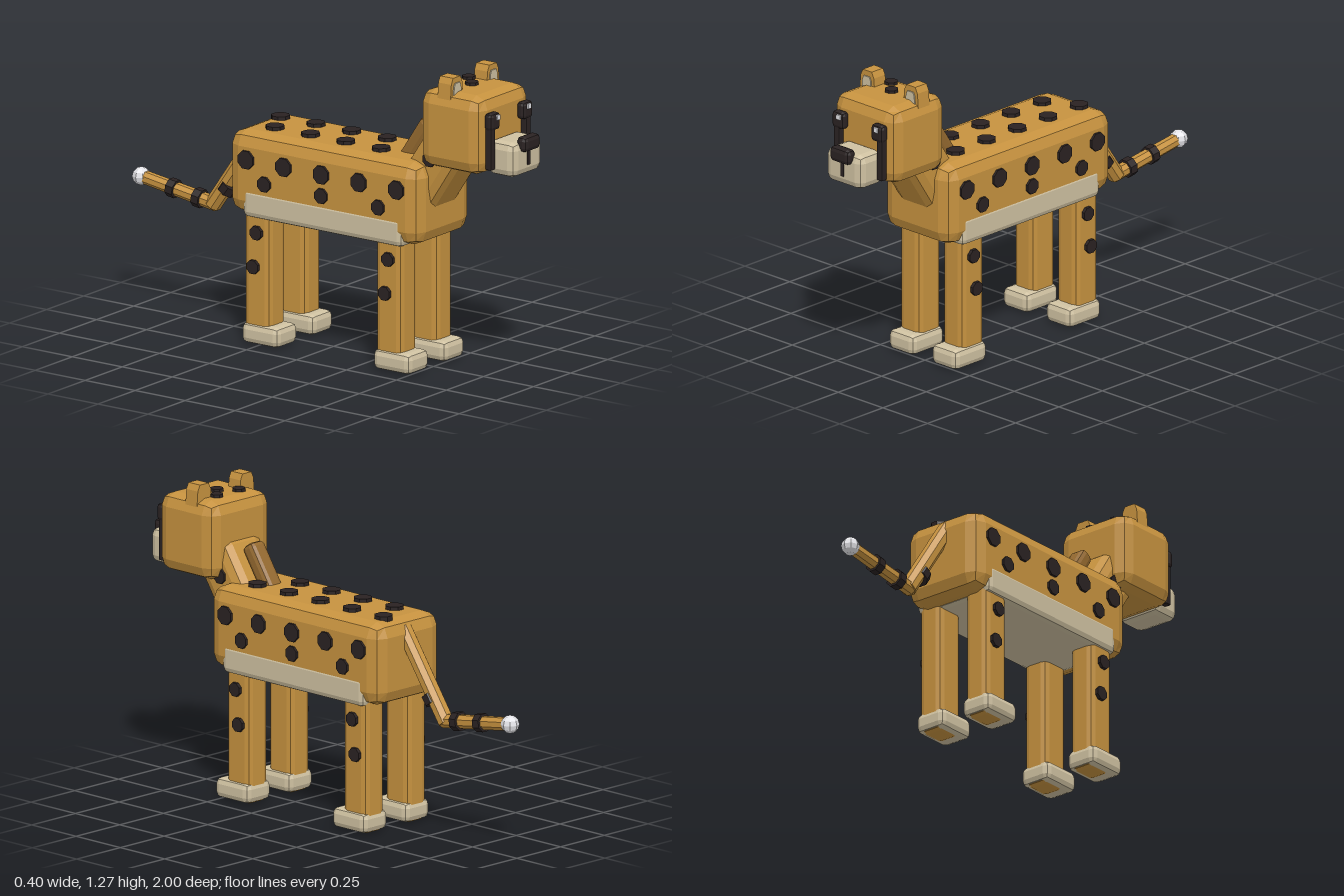
import * as THREE from 'three';
import { RoundedBoxGeometry } from 'three/addons/geometries/RoundedBoxGeometry.js';

const material = (name, color) => {
  const m = new THREE.MeshStandardMaterial({ color });
  m.name = name;
  return m;
};

export function createModel() {
  const model = new THREE.Group();
  model.name = 'spottedCat';
  const fur = material('golden fur', 0xc6923f);
  const maneFur = material('mane brown', 0x94692f);
  const cream = material('cream', 0xcfc1a1);
  const dark = material('spot black', 0x2a2222);
  const white = material('tip white', 0xe6e6ea);

  // Facetted mesh placed at a position
  function add(name, geometry, mat, x, y, z) {
    const g = geometry.index ? geometry.toNonIndexed() : geometry;
    g.computeVertexNormals();
    const mesh = new THREE.Mesh(g, mat);
    mesh.name = name;
    mesh.position.set(x, y, z);
    model.add(mesh);
    return mesh;
  }
  const box = (name, mat, [w, h, d], [x, y, z], r) =>
    add(name, new RoundedBoxGeometry(w, h, d, 1, r), mat, x, y, z);

  // Octagonal spot facing along x or y
  function spot(name, axis, r, x, y, z) {
    const g = new THREE.CylinderGeometry(r, r, 0.022, 8).rotateY(Math.PI / 8);
    if (axis === 'x') g.rotateZ(Math.PI / 2);
    return add(name, g, dark, x, y, z);
  }

  // Eight-sided rod between two points on the centre plane
  function rod(name, mat, [y0, z0], [y1, z1], r0, r1) {
    const a = new THREE.Vector3(0, y0, z0);
    const b = new THREE.Vector3(0, y1, z1);
    const g = new THREE.CylinderGeometry(r1, r0, a.distanceTo(b), 8).rotateY(Math.PI / 8);
    const mesh = add(name, g, mat, 0, (y0 + y1) / 2, (z0 + z1) / 2);
    mesh.quaternion.setFromUnitVectors(new THREE.Vector3(0, 1, 0), b.sub(a).normalize());
  }

  // Body and belly
  box('body', fur, [0.376, 0.345, 0.955], [0, 0.711, 0.08], 0.06);
  box('belly', cream, [0.38, 0.125, 0.8], [0, 0.592, 0.08], 0.025);

  // Neck and mane lean forward
  box('neck', fur, [0.22, 0.39, 0.2], [0, 0.847, 0.54], 0.045).rotation.x = 0.583;
  box('mane', maneFur, [0.08, 0.26, 0.066], [0, 0.92, 0.42], 0.02).rotation.x = 0.583;

  // Head and face
  box('head', fur, [0.35, 0.328, 0.31], [0, 1.046, 0.705], 0.055);
  box('muzzle', cream, [0.2, 0.145, 0.14], [0, 0.953, 0.905], 0.032);
  box('nose', dark, [0.106, 0.064, 0.05], [0, 1.015, 0.975], 0.018);
  box('mouthLine', dark, [0.018, 0.075, 0.012], [0, 0.96, 0.974], 0.003);

  // Ear outline with clipped top corners
  const earShape = (s) => new THREE.Shape([
    [-0.043, 0], [0.043, 0], [0.037, 0.075], [0.025, 0.1], [-0.025, 0.1], [-0.037, 0.075],
  ].map(([x, y]) => new THREE.Vector2(x * s, y * s)));
  const earGeometry = (s, depth) =>
    new THREE.ExtrudeGeometry(earShape(s), { depth, bevelEnabled: false });

  for (const s of [1, -1]) {
    const side = s > 0 ? 'left' : 'right';
    add(side + 'Ear', earGeometry(1, 0.065), fur, s * 0.122, 1.17, 0.642);
    add(side + 'InnerEar', earGeometry(0.62, 0.008), cream, s * 0.122, 1.185, 0.704);
    box(side + 'Eye', dark, [0.065, 0.073, 0.04], [s * 0.109, 1.111, 0.875], 0.015);
    box(side + 'EyeGlint', white, [0.022, 0.022, 0.01], [s * 0.11 + (s < 0 ? 0.012 : 0), 1.128, 0.896], 0.003);
    box(side + 'TearStripe', dark, [0.03, 0.19, 0.03], [s * 0.12, 1.005, 0.872], 0.005);
    spot(side + 'NeckSpot', 'x', 0.032, s * 0.108, 0.9, 0.563);

    // Flank spots in two rows
    for (let i = 0; i < 5; i++) spot(side + 'UpperFlankSpot', 'x', 0.04, s * 0.187, 0.772, 0.456 - i * 0.188);
    for (let i = 0; i < 3; i++) spot(side + 'LowerFlankSpot', 'x', 0.033, s * 0.187, 0.684, 0.365 - i * 0.285);

    // Legs, paws and leg spots
    for (const [end, z] of [['Front', 0.403], ['Back', -0.255]]) {
      box(side + end + 'Leg', fur, [0.112, 0.62, 0.13], [s * 0.12, 0.31, z], 0.025);
      box(side + end + 'Paw', cream, [0.142, 0.085, 0.186], [s * 0.12, 0.047, z + 0.023], 0.025);
      spot(side + end + 'LegSpot', 'x', 0.03, s * 0.179, 0.472, z + 0.004);
      spot(side + end + 'LegSpot', 'x', 0.03, s * 0.179, 0.328, z - 0.012);
    }
  }

  // Staggered spots on the back
  for (let i = 0; i < 5; i++) spot('backSpot', 'y', 0.039, 0.069, 0.887, -0.317 + i * 0.178);
  for (let i = 0; i < 4; i++) spot('backSpot', 'y', 0.039, -0.067, 0.887, -0.243 + i * 0.177);

  // Spots on the crown
  for (const [x, z] of [[-0.063, 0.63], [0.063, 0.63], [0, 0.692]]) spot('crownSpot', 'y', 0.028, x, 1.211, z);

  // Tail in two lengths with rings and a pale tip
  rod('tailBase', fur, [0.84, -0.36], [0.49, -0.603], 0.035, 0.035);
  rod('tailEnd', fur, [0.495, -0.585], [0.55, -0.96], 0.03, 0.028);
  rod('tailRing', dark, [0.593, -0.513], [0.56, -0.537], 0.041, 0.041);
  rod('tailRing', dark, [0.505, -0.653], [0.51, -0.688], 0.04, 0.04);
  rod('tailRing', dark, [0.524, -0.783], [0.529, -0.818], 0.039, 0.039);
  add('tailTip', new THREE.SphereGeometry(0.038, 8, 6), white, 0, 0.55, -0.962);

  return model;
}
